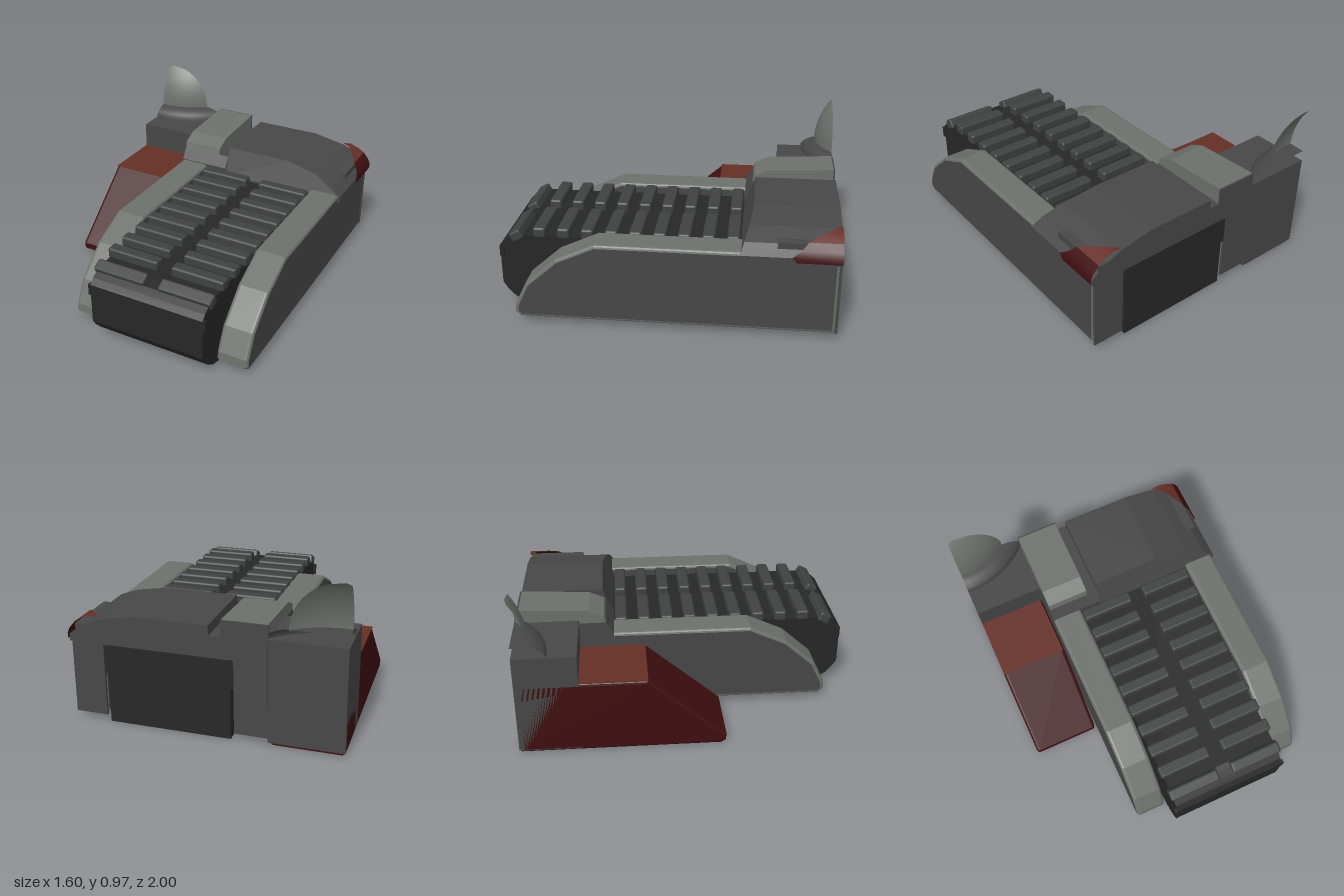
import * as THREE from 'three';
import { RoundedBoxGeometry } from 'three/addons/geometries/RoundedBoxGeometry.js';

const mat = (name, color, side = THREE.FrontSide) => {
  const m = new THREE.MeshStandardMaterial({ color, side });
  m.name = name;
  return m;
};

export function createModel() {
  const group = new THREE.Group();
  const hull = mat('hull grey', 0x474747, THREE.DoubleSide);
  const light = mat('light grey', 0x6c716b, THREE.DoubleSide);
  const track = mat('track black', 0x272727);
  const tread = mat('tread grey', 0x404141);
  const red = mat('dark red', 0x400f10, THREE.DoubleSide);
  const rust = mat('rust', 0x652f26, THREE.DoubleSide);

  const add = (name, geo, material) => {
    const mesh = new THREE.Mesh(geo, material);
    mesh.name = name;
    group.add(mesh);
    return mesh;
  };
  const box = (name, x0, x1, y0, y1, z0, z1, material) => add(name,
    new THREE.BoxGeometry(x1 - x0, y1 - y0, z1 - z0)
      .translate((x0 + x1) / 2, (y0 + y1) / 2, (z0 + z1) / 2), material);
  const extrude = (points, depth, bevel) => new THREE.ExtrudeGeometry(
    new THREE.Shape(points.map(p => new THREE.Vector2(...p))), {
      depth: depth - 2 * bevel, bevelEnabled: bevel > 0, bevelSize: bevel,
      bevelThickness: bevel, bevelOffset: -bevel, bevelSegments: 3,
    }).translate(0, 0, bevel);
  // side profile of (z, y) points, extruded across x
  const prism = (name, points, x0, x1, bevel, material) => add(name,
    extrude(points, x1 - x0, bevel).rotateY(-Math.PI / 2).translate(x1, 0, 0), material);
  // grid surface from rows of points
  const sheet = (name, rows, material) => {
    const n = rows[0].length, index = [];
    for (let i = 0; i < rows.length - 1; i++) for (let j = 0; j < n - 1; j++) {
      const a = i * n + j, b = a + n;
      index.push(a, a + 1, b, b, a + 1, b + 1);
    }
    const geo = new THREE.BufferGeometry();
    geo.setAttribute('position', new THREE.Float32BufferAttribute(rows.flat(2), 3));
    geo.setIndex(index);
    geo.computeVertexNormals();
    return add(name, geo, material);
  };

  // track belt
  prism('trackBelt', [[-0.995, 0], [0.8, 0], [0.87, 0.02], [0.93, 0.06], [0.975, 0.11], [1, 0.15],
    [1, 0.4], [0.97, 0.43], [0.93, 0.455], [0.86, 0.47], [-0.995, 0.47]], -0.16, 0.56, 0, track);

  // paired tread blocks, the front ones tipping over the nose
  const shoe = new RoundedBoxGeometry(0.33, 0.065, 0.075, 2, 0.014);
  for (let i = 0; i < 10; i++) {
    const nose = i === 9;
    for (const x of [-0.01, 0.41]) {
      const mesh = add('treadBlock', shoe, tread);
      mesh.position.set(x, nose ? 0.465 : 0.493, -0.39 + i * 0.143);
      if (nose) mesh.rotation.x = 0.5;
    }
  }
  for (const x of [-0.01, 0.41]) {
    box('noseTreadBlock', x - 0.165, x + 0.165, 0.33, 0.4, 0.975, 1, track);
  }
  box('trackCarrier', -0.19, 0.59, 0.3, 0.462, -0.995, 0.3, track);

  // track guards: dark sides, pale running edge
  const guard = [[-0.99, 0.04], [0.84, 0.04], [0.872, 0.07], [0.868, 0.12], [0.8, 0.26],
    [0.62, 0.42], [0.39, 0.525], [-0.99, 0.525]];
  for (const [x0, x1] of [[-0.37, -0.18], [0.58, 0.77]]) {
    prism('trackGuard', guard, x0, x1, 0.02, [hull, light]);
    box('guardRearPlate', x0, x1, 0.04, 0.525, -1, -0.985, hull);
  }

  // centre hull, its front edge leaning back with height
  const deck = extrude([[-0.04, 0.475], [0.785, 0.475], [0.785, 0.515], [0.72, 0.57], [0.6, 0.62],
    [0.39, 0.66], [-0.04, 0.66]], 0.56, 0).translate(0, 0, -1);
  const p = deck.attributes.position;
  for (let i = 0; i < p.count; i++) {
    if (p.getZ(i) > -0.5) p.setZ(i, -0.435 - Math.max(0, p.getY(i) - 0.53) * 0.5);
  }
  deck.computeVertexNormals();
  add('centreDeck', deck, hull);
  prism('deckChannel', [[-1, 0.475], [-0.435, 0.475], [-0.435, 0.53], [-0.48, 0.6], [-1, 0.6]],
    -0.37, -0.04, 0, hull);
  prism('raisedSlab', [[-0.99, 0.6], [-0.48, 0.6], [-0.49, 0.64], [-0.58, 0.68], [-0.99, 0.7]],
    -0.37, -0.11, 0, light);
  box('slabRearPlate', -0.37, -0.11, 0.6, 0.698, -1, -0.985, hull);
  box('sideBar', 0.65, 0.745, 0.54, 0.585, -1, -0.64, hull);

  // tapering red shoulder shell; each point is x, y, front z
  const shoulder = [[0.6, 0.635, -0.99], [0.65, 0.64, -0.95], [0.7, 0.622, -0.88],
    [0.745, 0.595, -0.81], [0.78, 0.555, -0.77], [0.795, 0.52, -0.72], [0.795, 0.49, -0.75]];
  const strip = pts => pts.map(([x, y, z]) => [[x, y, -1], [x, y, z]]);
  sheet('shoulderTop', strip(shoulder.slice(0, 4)), rust);
  sheet('shoulderSide', strip(shoulder.slice(3)), red);

  // red wedge block with its rust top
  prism('redWedge', [[-0.99, 0], [0.17, 0], [0.2, 0.02], [0.2, 0.06], [-0.25, 0.45], [-0.99, 0.45]],
    -0.8, -0.38, 0.02, red);
  box('wedgeTop', -0.8, -0.39, 0.447, 0.453, -0.65, -0.25, rust);
  box('sideHull', -0.8, -0.372, 0.015, 0.62, -1, -0.64, hull);

  // turret segments turned about a centre behind the rear face, cut at the rear and side
  const cx = -0.77, cz = -1.35;
  const turned = (name, profile, material) => sheet(name, profile.map(([r, y]) => {
    const hi = Math.acos(Math.min(1, 0.35 / r));
    const lo = Math.max(-hi, -Math.asin(0.03 / r));
    return Array.from({ length: 33 }, (_, j) => {
      const a = lo + (hi - lo) * j / 32;
      return [cx + r * Math.sin(a), y, cz + r * Math.cos(a)];
    });
  }), material);
  turned('turretRing', [[0.545, 0.6], [0.545, 0.635], [0.53, 0.655], [0.5, 0.675], [0.47, 0.687],
    [0.44, 0.687], [0.351, 0.687]], hull);
  const R = 0.453, top = Math.acos(0.35 / R);
  turned('turretDome', Array.from({ length: 17 }, (_, i) => {
    const a = top * i / 16;
    return [R * Math.cos(a), 0.682 + R * Math.sin(a)];
  }), light);

  return group;
}
